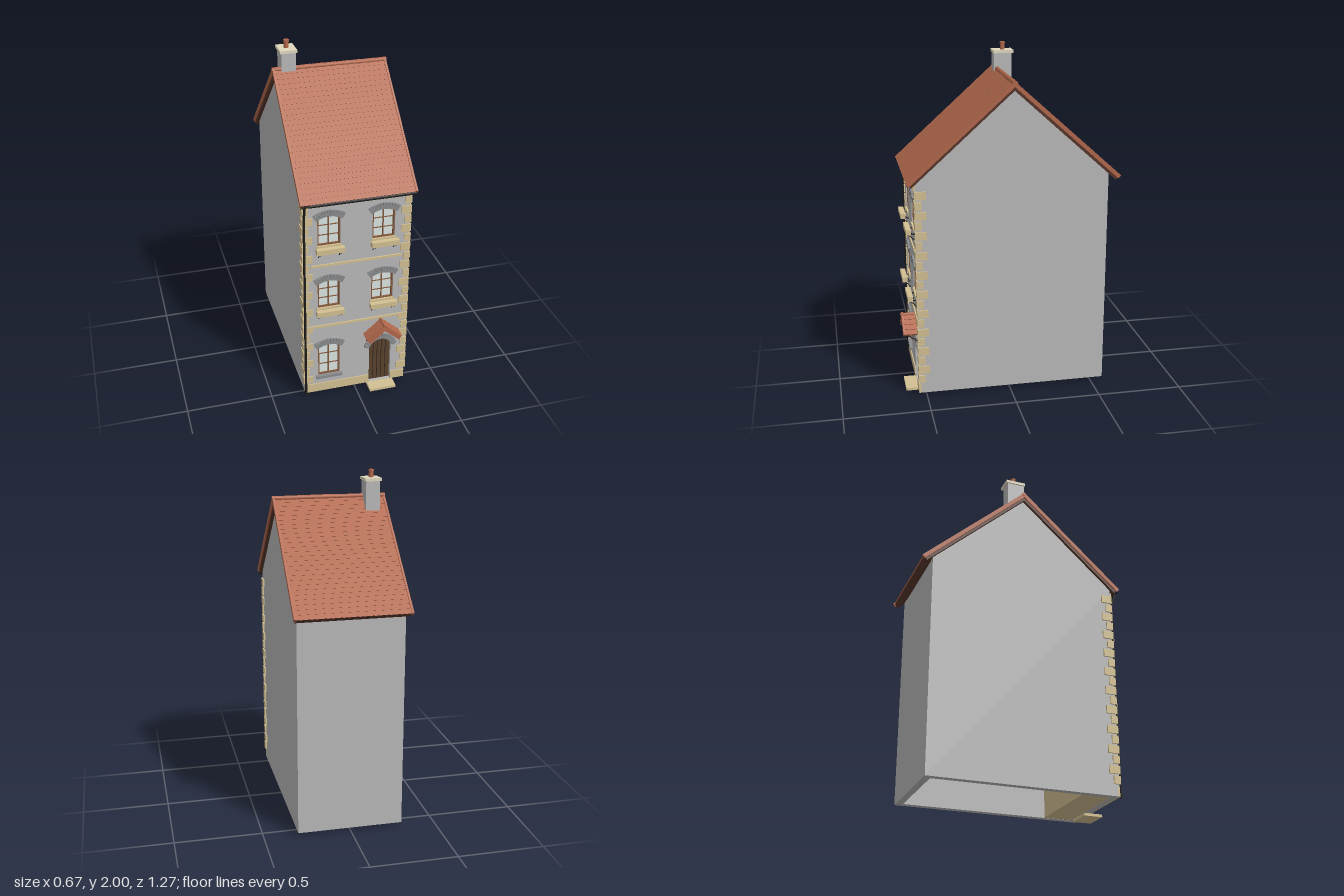
import * as THREE from 'three';

const mat = (name, color) => Object.assign(new THREE.MeshStandardMaterial({ color }), { name });

export function createModel() {
  const house = new THREE.Group();
  house.name = 'townHouse';
  const wall = mat('grey render', 0xb9b9b9), stone = mat('tan stone', 0xd3c092),
    tile = mat('clay tile', 0xb2684c), timber = mat('dark timber', 0x57352a),
    door = mat('door wood', 0x5a422c), iron = mat('black iron', 0x1e1c1b),
    arch = mat('arch stone', 0x8b8c8e), glass = mat('pale glass', 0xdce6e2),
    frame = mat('frame wood', 0x84593c), cap = mat('cream cap', 0xe0d8bd);
  tile.side = THREE.DoubleSide;

  const add = (name, geo, m, parent = house) => {
    const mesh = new THREE.Mesh(geo, m);
    mesh.name = name;
    parent.add(mesh);
    return mesh;
  };
  // box from its min and max on each axis
  const box = (name, m, x0, x1, y0, y1, z0, z1, parent) => {
    const b = add(name, new THREE.BoxGeometry(x1 - x0, y1 - y0, z1 - z0), m, parent);
    b.position.set((x0 + x1) / 2, (y0 + y1) / 2, (z0 + z1) / 2);
    return b;
  };
  const tube = (name, m, pts, r, parent) => {
    const c = new THREE.CatmullRomCurve3(pts.map(p => new THREE.Vector3(...p)), false, 'catmullrom', 0.1);
    return add(name, new THREE.TubeGeometry(c, pts.length * 5, r, 8), m, parent);
  };
  const extrude = (name, m, shape, depth, z, parent) => {
    const e = add(name, new THREE.ExtrudeGeometry(shape, { depth, bevelEnabled: false, curveSegments: 12 }), m, parent);
    e.position.z = z;
    return e;
  };
  // opening with an arched head: half width h, rise r
  const arc = (h, r) => {
    const R = (h * h + r * r) / (2 * r);
    return { R, a: Math.asin(Math.min(1, h / R)) };
  };
  const opening = (x, y0, y1, h, r, Kind = THREE.Shape) => {
    const { R, a } = arc(h, r), s = new Kind();
    s.moveTo(x - h, y0);
    s.lineTo(x + h, y0);
    s.lineTo(x + h, y1 - r);
    s.absarc(x, y1 - R, R, Math.PI / 2 - a, Math.PI / 2 + a, false);
    s.closePath();
    return s;
  };
  const voussoirs = (x, y1, h, r, n, len, parent) => {
    const { R, a } = arc(h, r);
    for (let i = 0; i < n; i++) {
      const t = a * 1.04 * (2 * i / (n - 1) - 1), d = R + len / 2;
      const b = add('archStone', new THREE.BoxGeometry(2 * a * (R + len * 0.5) / (n - 1) * 0.97, len, 0.026), arch, parent);
      b.position.set(x + d * Math.sin(t), y1 - R + d * Math.cos(t), 0.538);
      b.rotation.z = -t;
    }
  };

  // hollow walls: two gables, back and pierced front
  const gable = new THREE.Shape([[-0.575, 0.02], [0.54, 0.02], [0.54, 1.3], [-0.02, 1.81], [-0.575, 1.305]]
    .map(p => new THREE.Vector2(...p)));
  for (const x of [0.305, -0.265]) {
    const g = extrude('gableWall', wall, gable, 0.04, 0);
    g.rotation.y = -Math.PI / 2;
    g.position.x = x;
  }
  box('backWall', wall, -0.265, 0.265, 0.02, 1.3, -0.575, -0.535);
  const windows = [[-0.16, 0.13, 0.35], [-0.16, 0.605, 0.788], [0.155, 0.605, 0.788], [-0.16, 1.012, 1.198], [0.155, 1.012, 1.198]];
  const facade = new THREE.Shape([[-0.265, 0.02], [0.265, 0.02], [0.265, 1.3], [-0.265, 1.3]].map(p => new THREE.Vector2(...p)));
  const W = 0.065, RISE = 0.018, DX = 0.153, DH = 0.066, DR = 0.045;
  for (const [x, y0, y1] of windows) facade.holes.push(opening(x, y0, y1, W, RISE, THREE.Path));
  facade.holes.push(opening(DX, 0.023, 0.328, DH, DR, THREE.Path));
  extrude('frontWall', wall, facade, 0.04, 0.5);
  box('frontLining', stone, -0.265, 0.265, 0.021, 1.29, 0.33, 0.5);

  // windows
  for (const [x, y0, y1] of windows) {
    const g = new THREE.Group();
    g.name = 'window';
    house.add(g);
    extrude('pane', glass, opening(x, y0, y1, W, RISE), 0.005, 0.516, g);
    const f = opening(x, y0, y1, W, RISE);
    f.holes.push(opening(x, y0 + 0.008, y1 - 0.008, W - 0.008, RISE - 0.002, THREE.Path));
    extrude('windowFrame', frame, f, 0.018, 0.516, g);
    box('mullion', frame, x - 0.003, x + 0.003, y0, y1 - 0.005, 0.52, 0.529, g);
    for (const k of [0.33, 0.66]) {
      const y = y0 + (y1 - y0) * k;
      box('glazingBar', frame, x - W, x + W, y - 0.002, y + 0.002, 0.52, 0.526, g);
    }
    voussoirs(x, y1, W, RISE, 11, 0.036, g);
    if (y0 < 0.5) {
      box('sill', arch, x - 0.08, x + 0.08, y0 - 0.015, y0 + 0.003, 0.52, 0.556, g);
      continue;
    }
    // planter shelf on iron brackets
    box('planter', stone, x - 0.08, x + 0.08, y0 - 0.03, y0, 0.56, 0.59, g);
    box('sill', stone, x - 0.072, x + 0.072, y0 - 0.012, y0 + 0.002, 0.52, 0.546, g);
    for (const s of [-0.06, 0.06]) {
      tube('bracket', iron, [[x + s, y0 - 0.03, 0.585], [x + s, y0 - 0.048, 0.558], [x + s, y0 - 0.07, 0.54]], 0.0025, g);
      box('bracketArm', iron, x + s - 0.0025, x + s + 0.0025, y0 - 0.034, y0 - 0.029, 0.54, 0.588, g);
    }
  }

  // door, arch and step
  extrude('door', door, opening(DX, 0.02, 0.328, DH, DR), 0.01, 0.512);
  for (let i = -2; i <= 2; i++) {
    const x = DX + i * 0.025, top = 0.275 + 0.045 * Math.sqrt(1 - (i / 2.7) ** 2);
    box('doorPlank', door, x - 0.0105, x + 0.0105, 0.025, top, 0.52, 0.527);
    if (i < 2) box('plankGap', iron, x + 0.0105, x + 0.0145, 0.025, top - 0.01, 0.52, 0.524);
  }
  voussoirs(DX, 0.328, DH, DR, 13, 0.032);
  box('step', stone, 0.073, 0.233, 0.004, 0.02, 0.5, 0.615);

  // plinth and string courses
  box('plinth', stone, -0.305, DX - DH - 0.002, 0.02, 0.075, 0.53, 0.546);
  box('plinth', stone, DX + DH + 0.002, 0.305, 0.02, 0.075, 0.53, 0.546);
  for (const y of [0.888, 0.482]) box('stringCourse', stone, -0.265, 0.265, y - 0.007, y + 0.007, 0.53, 0.548);
  box('cornice', stone, -0.3, 0.3, 1.262, 1.285, 0.53, 0.552);

  // alternating corner stones
  for (const s of [-1, 1]) for (let i = 0; i < 20; i++) {
    const y = 0.088 + i * 0.059, w = i % 2 ? 0.038 : 0.058, d = i % 2 ? 0.066 : 0.04;
    const x = s * 0.314, xi = s * (0.314 - w);
    box('quoin', stone, Math.min(x, xi), Math.max(x, xi), y, y + 0.047, 0.546 - d, 0.546);
  }

  // roof slopes with shallow stepped tile courses
  const A = Math.atan(0.9), COURSES = 26, COLS = 22;
  for (const side of [0, 1]) {
    const L = (side ? 0.615 : 0.605) / Math.cos(A);
    const turn = new THREE.Group();
    turn.name = side ? 'backRoof' : 'frontRoof';
    turn.position.set(0, 1.842, -0.02);
    turn.rotation.y = side * Math.PI;
    const slope = new THREE.Group();
    slope.rotation.x = A;
    turn.add(slope);
    house.add(turn);
    const nx = COLS * 4, rows = COURSES * 2;
    const geo = new THREE.PlaneGeometry(0.64, 1, nx, rows - 1), p = geo.attributes.position;
    for (let k = 0; k < p.count; k++) {
      const j = Math.floor(k / (nx + 1)), lip = j % 2, u = (k % (nx + 1)) / nx;
      const ripple = Math.cos(u * COLS * Math.PI * 2);
      const s = (Math.floor(j / 2) + lip) / COURSES * L;
      p.setXYZ(k, p.getX(k), 0.004 + lip * 0.0015, s + (side && j === rows - 1 ? ripple * 0.002 : 0));
    }
    const flat = geo.toNonIndexed();
    flat.computeVertexNormals();
    add('tiles', flat, tile, slope);
    box('roofDeck', timber, -0.322, 0.322, -0.028, 0, 0, L - 0.004, slope);
    for (const s of [-0.324, 0.324])
      box('vergeTile', tile, s - 0.006, s + 0.006, -0.012, 0.011, 0, L, slope);
  }
  for (let i = 0; i < 9; i++) {
    const r = add('ridgeTile', new THREE.CylinderGeometry(0.0125, 0.0145, 0.075, 12), tile);
    r.rotation.z = Math.PI / 2;
    r.position.set(-0.295 + i * 0.0738, 1.845, -0.022);
  }

  // gutter and downpipe
  tube('gutter', iron, [[-0.325, 1.285, 0.572], [0.325, 1.285, 0.572]], 0.01);
  tube('downpipe', iron, [[-0.302, 1.28, 0.572], [-0.302, 1.255, 0.568], [-0.302, 1.225, 0.554], [-0.302, 1.18, 0.548], [-0.302, 0.03, 0.548], [-0.302, 0.01, 0.552]], 0.007);

  // chimney
  box('chimneyStack', wall, -0.28, -0.198, 1.7, 1.938, -0.108, -0.002);
  box('chimneyCap', cap, -0.288, -0.19, 1.938, 1.955, -0.12, 0.002);
  const pot = add('chimneyPot', new THREE.CylinderGeometry(0.013, 0.014, 0.045, 16), tile);
  pot.position.set(-0.239, 1.9775, -0.06);
  const rim = add('potRim', new THREE.CylinderGeometry(0.016, 0.016, 0.01, 16), tile);
  rim.position.set(-0.239, 1.995, -0.06);

  // porch canopy: overlapping courses on a timber frame
  for (const s of [-1, 1]) {
    const half = new THREE.Group();
    half.name = 'porchRoof';
    half.position.set(DX, 0.462, 0);
    half.rotation.z = -s * 0.71;
    house.add(half);
    const span = (name, m, a, b, y0, y1, z0, z1) =>
      box(name, m, Math.min(s * a, s * b), Math.max(s * a, s * b), y0, y1, z0, z1, half);
    span('porchRafter', timber, 0, 0.128, -0.02, -0.006, 0.54, 0.612);
    span('bargeBoard', tile, 0, 0.132, -0.022, 0.007, 0.612, 0.624);
    for (let c = 0; c < 4; c++) {
      const t = span('porchTiles', tile, c * 0.033, c * 0.033 + 0.036, -0.006, 0.006, 0.541, 0.613);
      t.rotation.z = s * 0.12;
    }
    const x = DX + s * 0.085;
    tube('porchBracket', iron, [[x, 0.372, 0.605], [x, 0.35, 0.575], [x, 0.325, 0.54]], 0.004);
    box('porchArm', timber, x - 0.005, x + 0.005, 0.368, 0.38, 0.54, 0.612);
  }
  tube('porchRidge', tile, [[DX, 0.464, 0.54], [DX, 0.464, 0.63]], 0.01);
  const knob = add('porchFinial', new THREE.SphereGeometry(0.009, 10, 8), tile);
  knob.position.set(DX, 0.472, 0.62);

  return house;
}
